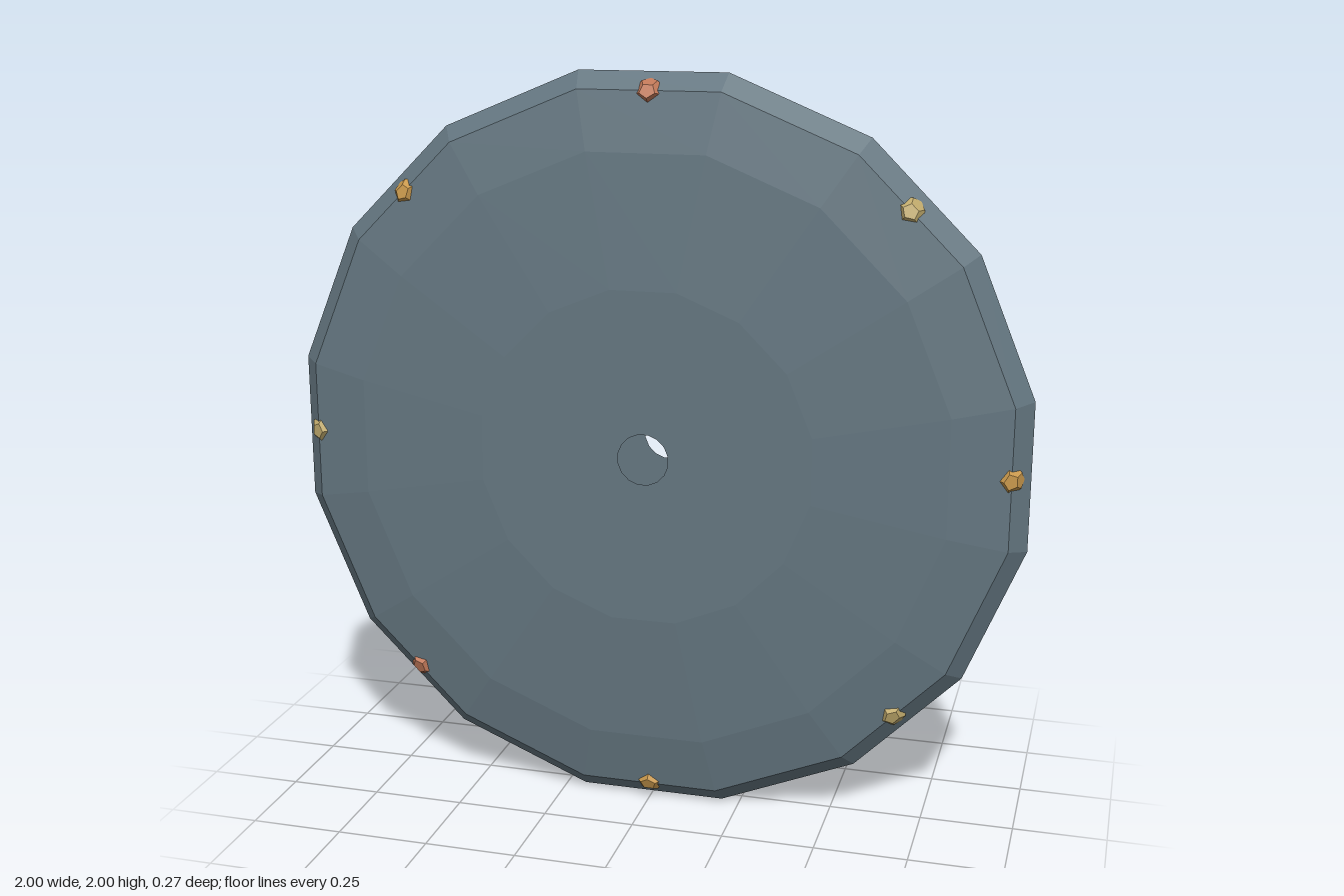
import * as THREE from 'three';

const SIDES = 16;
const APOTHEM = Math.cos(Math.PI / SIDES);

export function createModel() {
  const model = new THREE.Group();
  model.name = 'shield';

  // Disc: sixteen-sided open shell with a centre hole, [flat radius, depth] from back to front
  const profile = [
    [0.068, -0.135], [0.57, -0.135], [0.98, -0.018], [1, 0.032],
    [0.955, 0.08], [0.8, 0.11], [0.45, 0.135], [0.068, 0.135],
  ].map(([r, z]) => new THREE.Vector2(r / APOTHEM, z));
  const discGeometry = new THREE.LatheGeometry(profile, SIDES, Math.PI / SIDES);
  discGeometry.rotateX(Math.PI / 2);
  const disc = new THREE.Mesh(discGeometry, new THREE.MeshStandardMaterial({
    color: 0x647680, flatShading: true, side: THREE.DoubleSide,
  }));
  disc.name = 'disc';
  disc.position.y = 1;
  model.add(disc);

  // Rim studs: flattened faceted stones lying on the front bevel
  const tan = 0xc0aa6c, orange = 0xc8984c, red = 0xc07858;
  const colors = [orange, tan, red, orange, tan, red, orange, tan];
  const studGeometry = new THREE.DodecahedronGeometry(0.036);
  studGeometry.scale(1, 1, 0.6);
  const studs = new THREE.Group();
  studs.name = 'rimStuds';
  studs.position.y = 1;
  colors.forEach((color, i) => {
    const pivot = new THREE.Group();
    pivot.name = 'studPivot' + (i + 1);
    pivot.rotation.z = (i * Math.PI) / 4;
    const stud = new THREE.Mesh(studGeometry,
      new THREE.MeshStandardMaterial({ color, flatShading: true }));
    stud.name = 'stud' + (i + 1);
    stud.position.set(0.955, 0, 0.068);
    stud.rotation.y = Math.PI / 4;
    pivot.add(stud);
    studs.add(pivot);
  });
  model.add(studs);

  return model;
}
